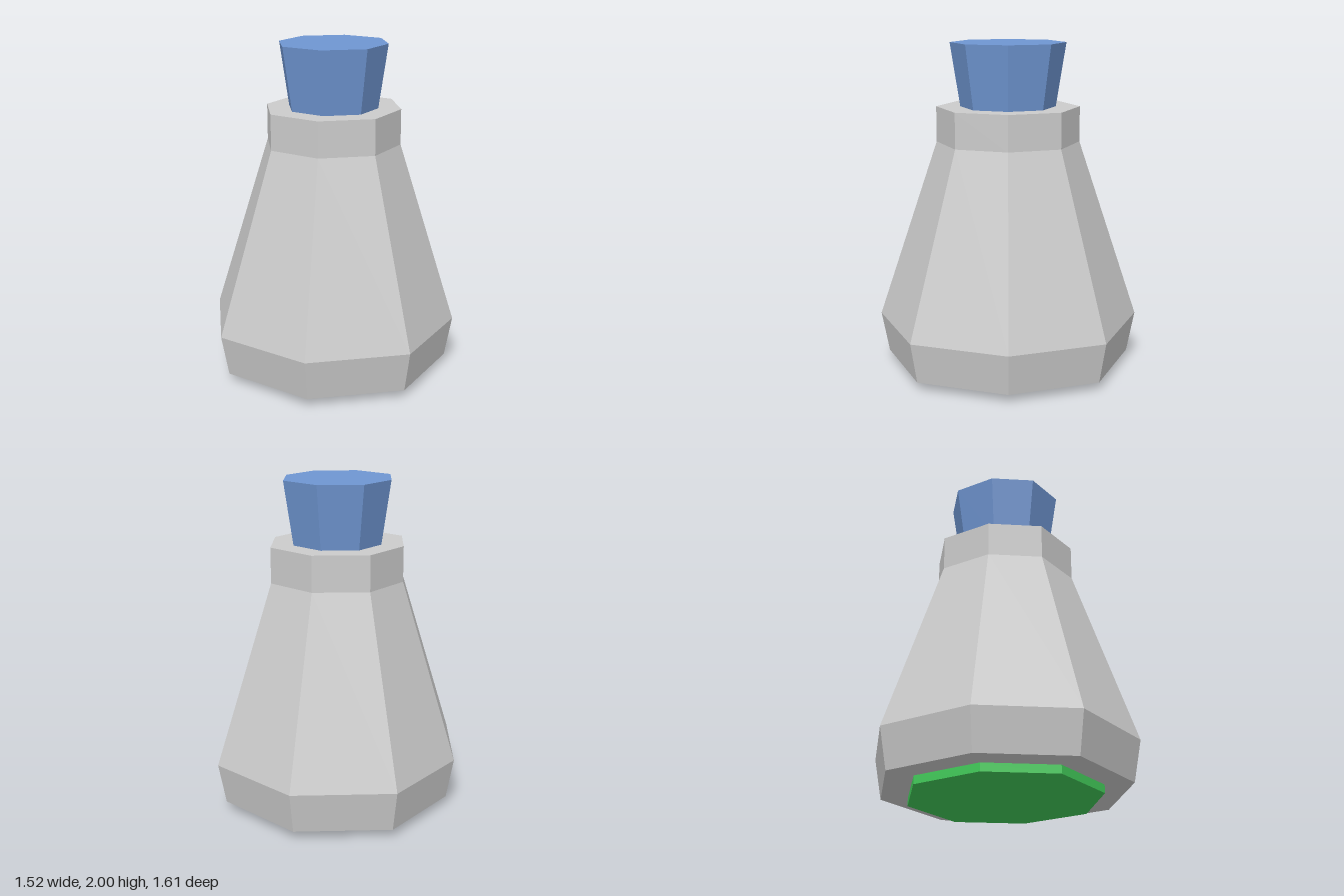
import * as THREE from 'three';

const SIDES = 8;
const SIDE_SQUASH = 0.945; // the two corners on the x axis sit slightly inwards

// Turn a [radius, y] profile (bottom to top) into a faceted octagonal solid
function octagonalPart(name, color, profile) {
  const points = profile.map(([r, y]) => new THREE.Vector2(r, y));
  const geometry = new THREE.LatheGeometry(points, SIDES);
  const pos = geometry.attributes.position;
  for (let i = 0; i < pos.count; i++) {
    if (Math.abs(pos.getZ(i)) < 1e-4) pos.setX(i, pos.getX(i) * SIDE_SQUASH);
  }
  geometry.computeVertexNormals();
  const material = new THREE.MeshStandardMaterial({ color, flatShading: true });
  const mesh = new THREE.Mesh(geometry, material);
  mesh.name = name;
  return mesh;
}

export function createModel() {
  const group = new THREE.Group();
  group.name = 'flask';

  // Flask body: bevelled foot, tapering shoulders, straight neck
  group.add(octagonalPart('body', 0xcccccc, [
    [0, 0.05], [0.757, 0.05], [0.804, 0.3], [0.436, 1.4], [0.436, 1.615], [0, 1.615],
  ]));

  // Stopper widening upwards out of the neck
  group.add(octagonalPart('stopper', 0x6f96d2, [
    [0, 1.61], [0.289, 1.61], [0.35, 2], [0, 2],
  ]));

  // Thin plate under the body
  group.add(octagonalPart('basePlate', 0x42cc5a, [
    [0, 0], [0.586, 0], [0.586, 0.05], [0, 0.05],
  ]));

  return group;
}
